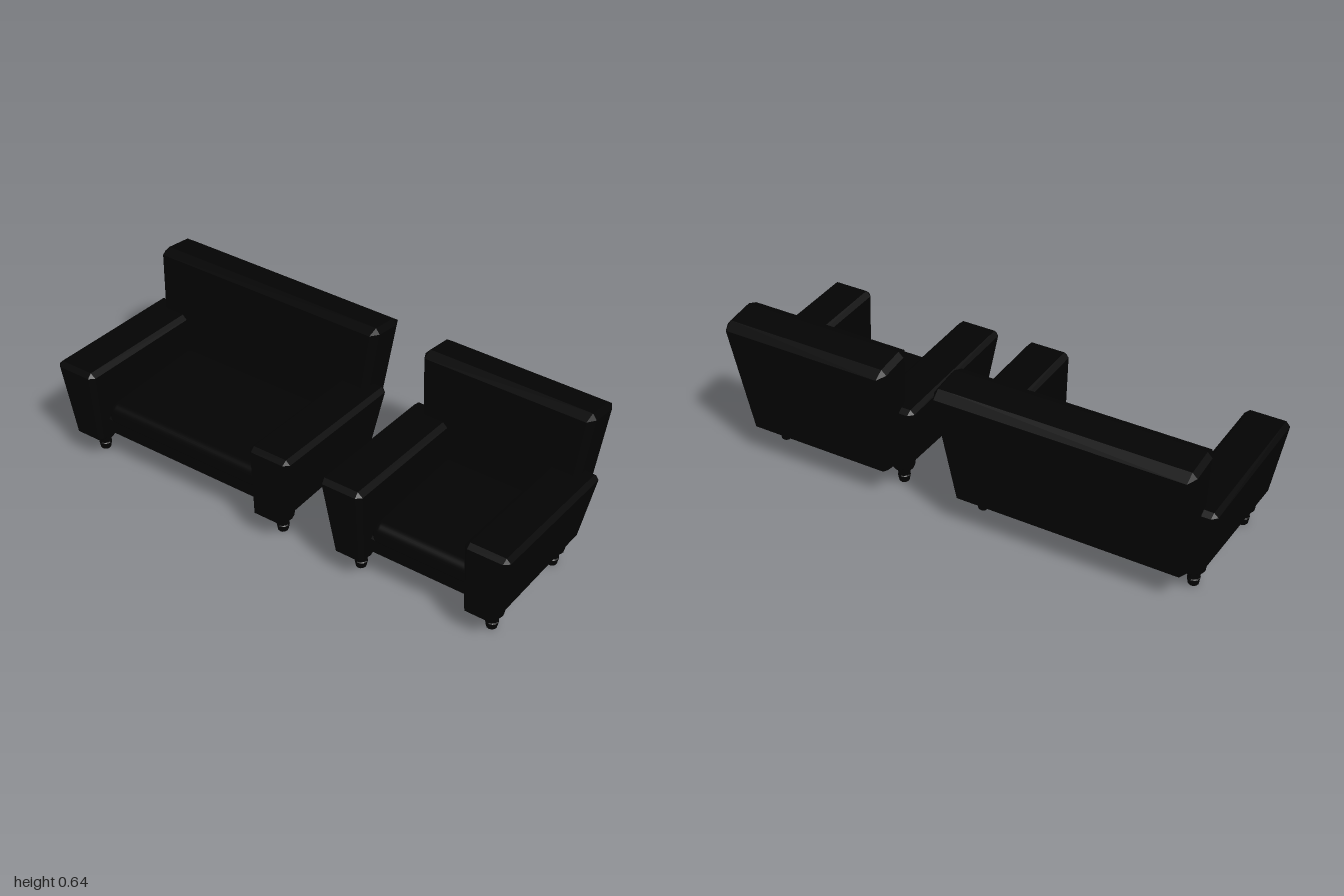
import * as THREE from 'three';
import { ConvexGeometry } from 'three/addons/geometries/ConvexGeometry.js';
import { RoundedBoxGeometry } from 'three/addons/geometries/RoundedBoxGeometry.js';

const black = new THREE.MeshStandardMaterial({ color: 0x030303, flatShading: true });
const blackSmooth = new THREE.MeshStandardMaterial({ color: 0x030303 });

function add(parent, name, geometry, material = black) {
  const mesh = new THREE.Mesh(geometry, material);
  mesh.name = name;
  parent.add(mesh);
  return mesh;
}

// Bevelled, tapered block. side = [x, y] of bottom front, bottom back, top back, top front;
// zBottom and zTop = [min, max] across the block; bevel = inset along x, y, z.
function block(side, zBottom, zTop, bevel) {
  const [a, b, c, d] = side;
  const mix = THREE.MathUtils.lerp;
  const len = [b[0] - a[0], d[1] - a[1], zTop[1] - zTop[0]];
  const inset = bevel.map((v, i) => v / len[i]);
  const points = [];
  for (const u of [0, 1]) for (const v of [0, 1]) for (const w of [0, 1]) {
    for (let keep = 0; keep < 3; keep++) {
      const [s, t, r] = [u, v, w].map((q, i) => (i === keep ? q : q ? 1 - inset[i] : inset[i]));
      points.push(new THREE.Vector3(
        mix(mix(a[0], b[0], s), mix(d[0], c[0], s), t),
        mix(mix(a[1], b[1], s), mix(d[1], c[1], s), t),
        mix(mix(zBottom[0], zTop[0], t), mix(zBottom[1], zTop[1], t), r)));
    }
  }
  return new ConvexGeometry(points);
}

// Turned leg with a wide collar and a stepped foot
const legProfile = [[0, 0], [0.015, 0], [0.02, 0.005], [0.025, 0.031], [0.022, 0.034],
  [0.028, 0.062], [0.036, 0.064], [0.042, 0.072], [0.046, 0.1], [0.046, 0.125], [0, 0.125]]
  .map(([r, y]) => new THREE.Vector2(r, y));

// A seat facing -x, centred on z = 0; half is its half width over the arms
function createSeat(name, half) {
  const seat = new THREE.Group();
  seat.name = name;
  const inner = half - 0.182;

  // Base frame
  add(seat, 'baseFrame', block(
    [[-0.31, 0.12], [0.26, 0.12], [0.26, 0.2], [-0.31, 0.2]],
    [-inner - 0.03, inner + 0.03], [-inner - 0.03, inner + 0.03], [0.012, 0.012, 0.012]));

  // Cushion with a slightly crowned top
  const cushion = new RoundedBoxGeometry(0.5, 0.09, inner * 2 + 0.01, 4, 0.035);
  const pos = cushion.attributes.position;
  for (let i = 0; i < pos.count; i++) {
    if (pos.getY(i) > 0) pos.setY(i, pos.getY(i) + 0.006 * (1 - (pos.getX(i) / 0.25) ** 2));
  }
  add(seat, 'seatCushion', cushion, blackSmooth).position.set(-0.065, 0.21, 0);

  // Leaning backrest
  add(seat, 'backrest', block(
    [[0.148, 0.15], [0.303, 0.122], [0.389, 0.62], [0.199, 0.648]],
    [0.082 - half, half - 0.082], [0.036 - half, half - 0.036], [0.032, 0.021, 0.02]));

  // Arms and legs, mirrored across the seat
  for (const s of [-1, 1]) {
    const arm = (outer) => (s > 0 ? [inner, outer] : [-outer, -inner]);
    add(seat, s > 0 ? 'leftArm' : 'rightArm', block(
      [[-0.367, 0.1], [0.228, 0.1], [0.247, 0.397], [-0.387, 0.428]],
      arm(half - 0.06), arm(half), [0.018, 0.018, 0.02]));
    for (const x of [-0.27, 0.145]) {
      add(seat, x < 0 ? 'frontLeg' : 'backLeg', new THREE.LatheGeometry(legProfile, 12))
        .position.set(x, 0, s * (half - 0.113));
    }
  }
  return seat;
}

export function createModel() {
  const model = new THREE.Group();
  model.name = 'sofaSet';
  const armchair = createSeat('armchair', 0.39);
  armchair.position.z = 0.61;
  const sofa = createSeat('sofa', 0.547);
  sofa.position.z = -0.453;
  model.add(armchair, sofa);
  return model;
}
